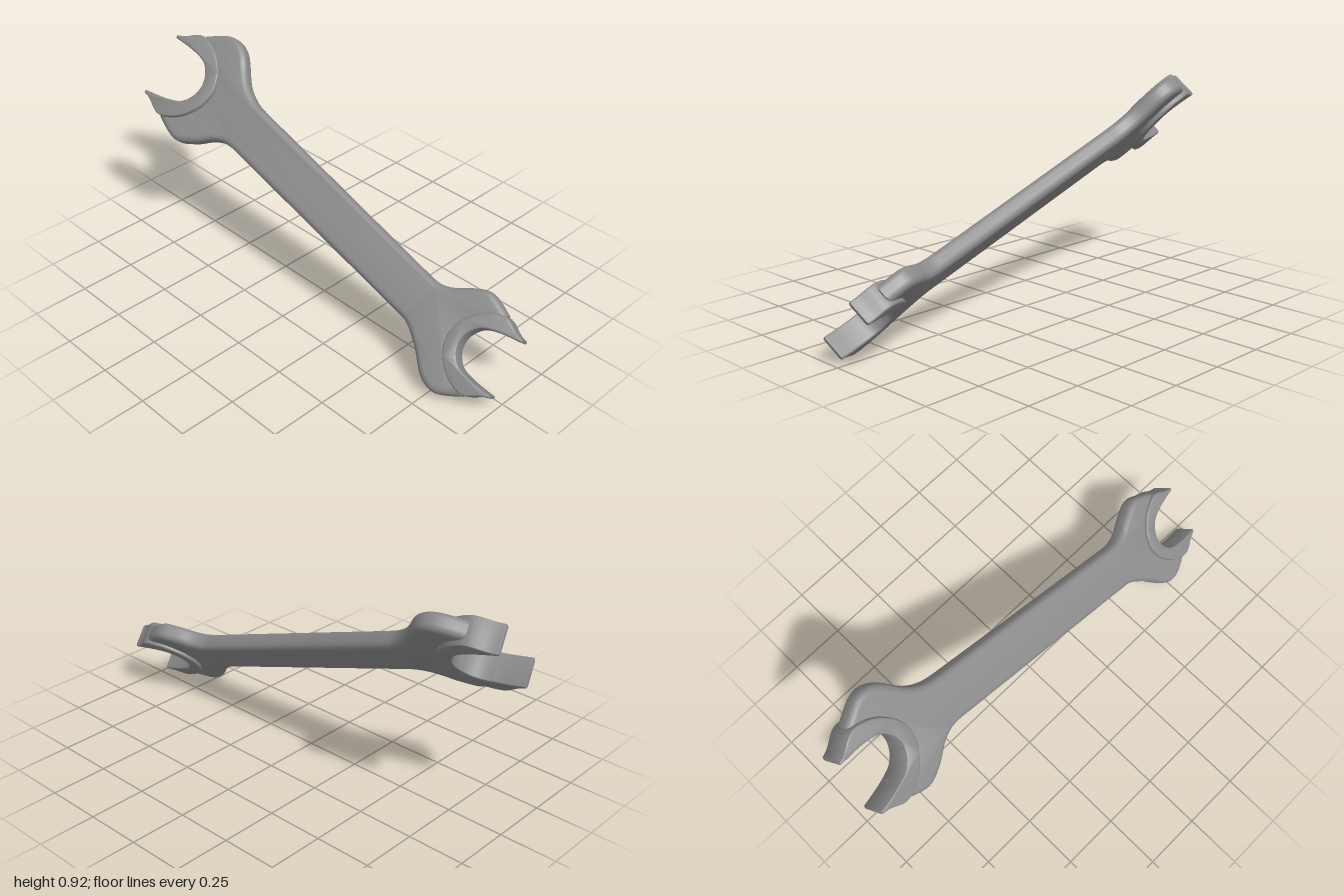
import * as THREE from 'three';
import { toCreasedNormals } from 'three/addons/utils/BufferGeometryUtils.js';

const TILT = 13 * Math.PI / 180;
const v2 = ([x, y]) => new THREE.Vector2(x, y);
const smooth = (pts, n) => new THREE.SplineCurve(pts.map(v2)).getPoints(n);

// Half profiles of a jaw: [distance along the mouth axis from the tips, half width]
const OUTER = [[-0.28, 0.205], [-0.2, 0.228], [-0.1, 0.182]];
const SEAT = [[-0.1, 0.125], [-0.17, 0.1], [-0.22, 0.055], [-0.235, 0]];
const MOUTH = [[0, 0.118], [-0.09, 0.108], [-0.16, 0.088], [-0.197, 0.048], [-0.21, 0]];
const RIM = [[0, 0.13], [-0.035, 0.142], [-0.09, 0.174], [-0.14, 0.168], [-0.2, 0.133], [-0.25, 0.07], [-0.268, 0]];

// The two ends; the large one is turned half way round the handle's centre
const SMALL = {
  name: 'smallJaw', dir: 1, scale: 1, tip: [1.03, 0.045], half: 0.055,
  neckTop: [[0.55, 0.098], [0.6, 0.104], [0.65, 0.128]],
  neckBottom: [[0.55, -0.1], [0.61, -0.105], [0.7, -0.15]],
};
const LARGE = {
  name: 'largeJaw', dir: -1, scale: 1.14, tip: [1.027, 0.06], half: 0.062,
  neckTop: [[0.5, 0.107], [0.55, 0.118], [0.6, 0.15]],
  neckBottom: [[0.5, -0.106], [0.57, -0.114], [0.65, -0.148]],
};

// Jaw coordinates to handle coordinates
function place(end, [s, t]) {
  const c = Math.cos(TILT), n = Math.sin(TILT), k = end.scale;
  return [end.tip[0] + (s * c - t * n) * k, end.tip[1] + (s * n + t * c) * k];
}

// Full symmetric curve from the upper tip round the back to the lower tip
function around(end, half) {
  const lower = half.slice(0, -1).reverse().map(([s, t]) => [s, -t]);
  return smooth([...half, ...lower].map((p) => place(end, p)), 40);
}

// Outline of one end, from the upper neck round to the lower neck
function endOutline(end) {
  const up = OUTER.map((p) => place(end, p));
  const down = OUTER.map(([s, t]) => place(end, [s, -t]));
  const pts = [
    ...smooth([...end.neckTop, ...up], 30),
    ...around(end, SEAT),
    ...smooth([...end.neckBottom, ...down], 30).reverse(),
  ];
  return pts.map((p) => p.multiplyScalar(end.dir));
}

// Plate of a given half thickness with rounded edges kept inside the outline
function plate(points, half, bevelSize, bevelThickness) {
  const depth = 2 * (half - bevelThickness);
  const geo = new THREE.ExtrudeGeometry(new THREE.Shape(points), {
    depth, bevelEnabled: true, bevelSize, bevelThickness, bevelOffset: -bevelSize,
    bevelSegments: 4, curveSegments: 1,
  });
  geo.translate(0, 0, -depth / 2);
  return toCreasedNormals(geo, 0.7);
}

export function createModel() {
  const model = new THREE.Group();
  model.name = 'wrench';
  const steel = new THREE.MeshStandardMaterial({ color: 0x8a8a8a });
  steel.name = 'grey steel';
  const tool = new THREE.Group();
  tool.name = 'tool';
  const add = (name, geo) => {
    const mesh = new THREE.Mesh(geo, steel);
    mesh.name = name;
    tool.add(mesh);
  };

  // Handle with both heads
  add('handle', plate([...endOutline(SMALL), ...endOutline(LARGE)], 0.041, 0.026, 0.026));

  // Thicker pointed jaws around each mouth
  for (const end of [SMALL, LARGE]) {
    const pts = [...around(end, MOUTH), ...around(end, RIM).reverse()]
      .map((p) => p.multiplyScalar(end.dir));
    add(end.name, plate(pts, end.half, 0.006, 0.012));
  }

  // Sloping down to the left and rolled towards the front
  tool.rotation.set(-Math.PI / 4, 0, -19.1 * Math.PI / 180, 'ZYX');
  model.add(tool);
  model.updateMatrixWorld(true);
  const box = new THREE.Box3().setFromObject(model, true);
  const mid = box.getCenter(new THREE.Vector3());
  tool.position.set(-mid.x, -box.min.y, -mid.z);
  return model;
}
